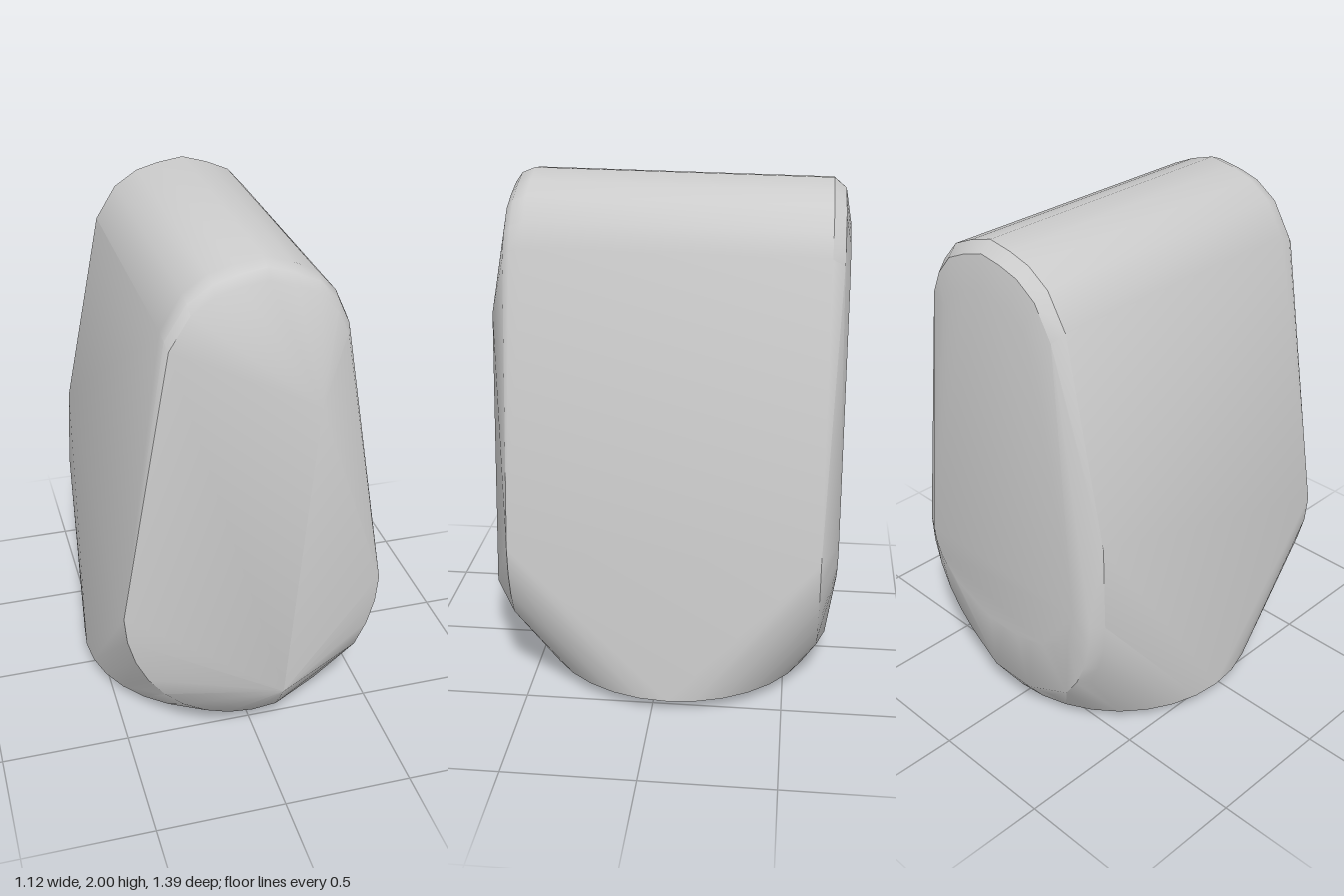
import * as THREE from 'three';
import { ConvexGeometry } from 'three/addons/geometries/ConvexGeometry.js';
import { toCreasedNormals } from 'three/addons/utils/BufferGeometryUtils.js';

// Teardrop end outline: narrow round top, wide round bottom
const TOP = [[0.33, 1.76], [0.29, 1.85], [0.22, 1.93], [0.13, 1.97], [0.03, 2], [-0.07, 1.985], [-0.16, 1.96], [-0.25, 1.9], [-0.33, 1.77]];
const BOTTOM = [];
for (let i = 0; i <= 16; i++) {
  const a = Math.PI * (1 + i / 16);
  BOTTOM.push([0.505 * Math.cos(a), 0.64 + 0.56 * Math.sin(a)]);
}

// Place an outline at depth z, scaled about a centre height
function place(outline, z, sx = 1, sy = 1, cy = 1) {
  return outline.map(([x, y]) => new THREE.Vector3(x * sx, cy + (y - cy) * sy, z));
}

export function createModel() {
  const stone = new THREE.MeshStandardMaterial({ color: 0xcccccc });
  stone.name = 'pale stone grey';

  const points = [
    // front rim, rounded over at the top and chipped at the lower left
    ...place(TOP, 0.49),
    ...place(TOP, 0.54, 0.99, 0.98),
    ...place(TOP, 0.565, 0.96, 0.945),
    ...place(BOTTOM.filter(([x]) => x < 0.1 || x > 0.4), 0.555),
    // back rim and its bevelled cap
    ...place(TOP, -0.625, 1, 0.983),
    ...place(TOP, -0.67, 0.93, 0.945),
    ...place(TOP, -0.692, 0.78, 0.82),
    ...place(BOTTOM, -0.63),
    ...place(BOTTOM.slice(0, 5), -0.67, 0.92, 1),
    ...place(BOTTOM, -0.694, 0.8, 0.5, 0.7),
    // bulges of the front face, the back right edge and the low back edge
    new THREE.Vector3(0.08, 0.28, 0.7),
    new THREE.Vector3(0.21, 1.48, 0.637),
    new THREE.Vector3(-0.49, 0.97, -0.62),
    new THREE.Vector3(0.1, 0.13, -0.665),
    new THREE.Vector3(-0.1, 0.13, -0.665),
    // lowest point of the base
    new THREE.Vector3(0.05, 0, 0.27),
  ];
  // round base
  for (let i = 0; i < 32; i++) {
    const a = (i / 32) * Math.PI * 2;
    points.push(new THREE.Vector3(0.562 * Math.cos(a), 0.05, -0.06 + 0.555 * Math.sin(a)));
  }

  const body = new THREE.Mesh(toCreasedNormals(new ConvexGeometry(points), 0.6), stone);
  body.name = 'body';
  const group = new THREE.Group();
  group.name = 'roundedBlock';
  group.add(body);
  return group;
}
